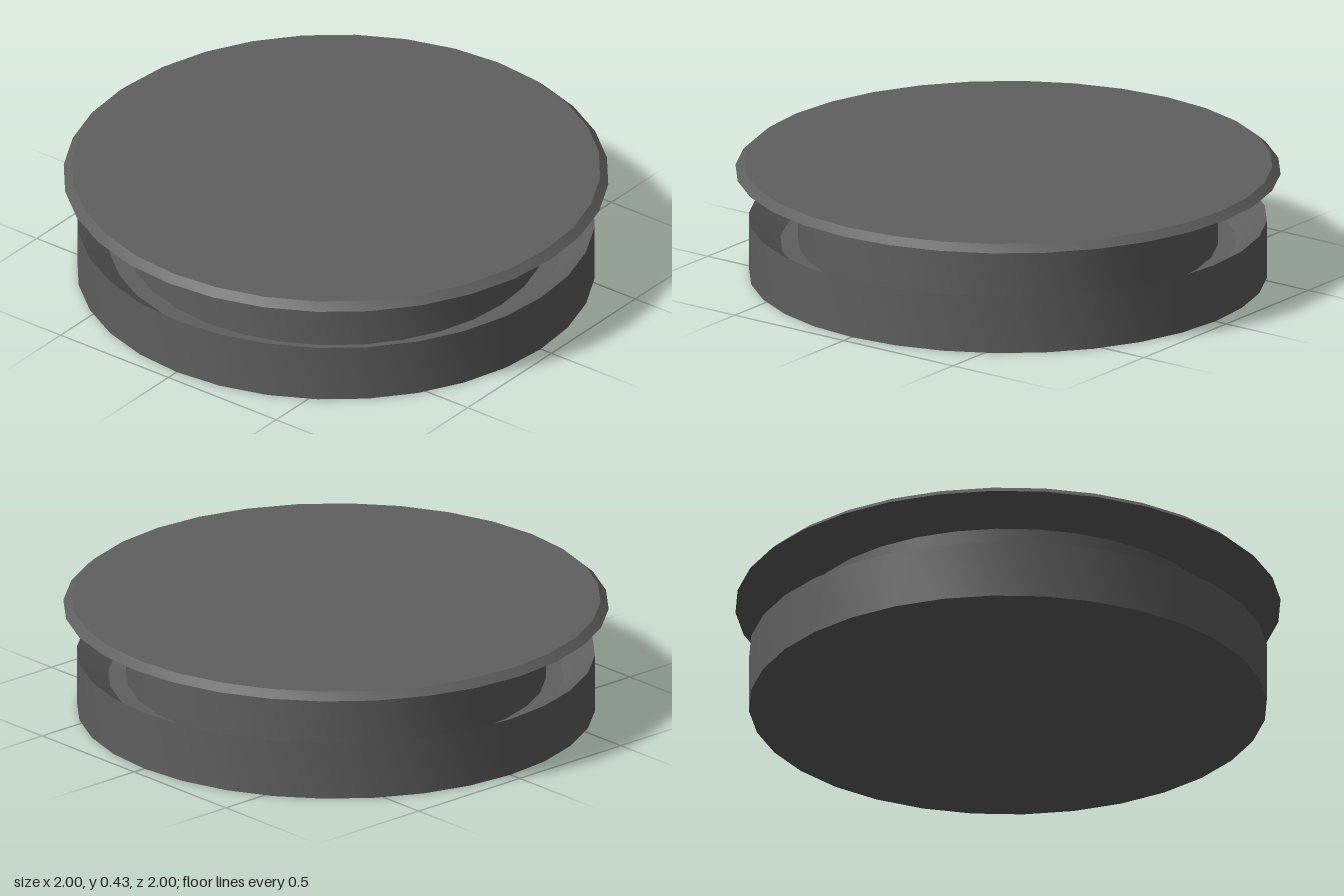
import * as THREE from 'three';
import { toCreasedNormals } from 'three/addons/utils/BufferGeometryUtils.js';

const SEGMENTS = 32;

// Turned part from [radius, height] points listed bottom to top
function turned(name, profile, material) {
  const points = profile.map(([r, y]) => new THREE.Vector2(r, y));
  const geometry = toCreasedNormals(new THREE.LatheGeometry(points, SEGMENTS), Math.PI / 7);
  const mesh = new THREE.Mesh(geometry, material);
  mesh.name = name;
  return mesh;
}

export function createModel() {
  const group = new THREE.Group();
  group.name = 'flangedCap';
  const material = new THREE.MeshStandardMaterial({ color: 0x5f5f5f });

  // Base with a sharp rim and a sloped channel around the neck
  group.add(turned('base', [
    [0, 0], [0.95, 0], [0.95, 0.218], [0.835, 0.125], [0.77, 0.125],
  ], material));

  // Straight neck rising from the channel floor
  group.add(turned('neck', [[0.77, 0.125], [0.77, 0.354]], material));

  // Wide lid: tapered underside, chamfered edge, flat top
  group.add(turned('lid', [
    [0.77, 0.354], [1, 0.4], [0.97, 0.427], [0, 0.427],
  ], material));

  return group;
}
